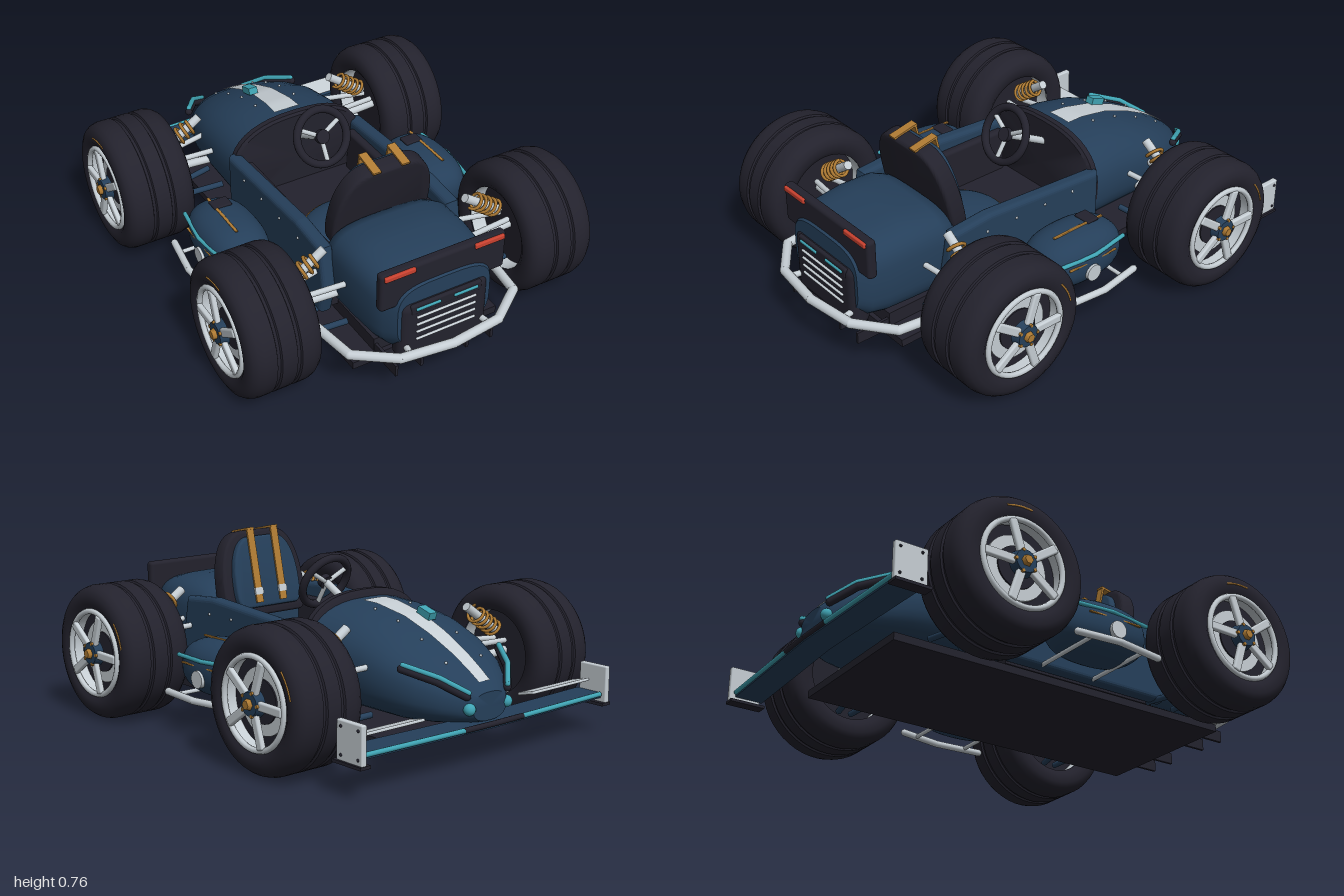
import * as THREE from 'three';
import { toCreasedNormals } from 'three/addons/utils/BufferGeometryUtils.js';
import { RoundedBoxGeometry } from 'three/addons/geometries/RoundedBoxGeometry.js';

const paint = (name, color, side = THREE.FrontSide) => {
  const m = new THREE.MeshStandardMaterial({ color, side });
  m.name = name;
  return m;
};

export function createModel() {
  const car = new THREE.Group();
  car.name = 'openRaceCar';
  const navy = paint('navy', 0x253f5a);
  const black = paint('black', 0x23222d);
  const silver = paint('silver', 0xc6ced4, THREE.DoubleSide);
  const gold = paint('gold', 0xb07c34);
  const teal = paint('teal', 0x3fa3b3);
  const red = paint('red', 0xc8412f);
  const V = (x, y, z) => new THREE.Vector3(x, y, z);

  const add = (name, geo, mat, x = 0, y = 0, z = 0, parent = car) => {
    const m = new THREE.Mesh(geo, mat);
    m.name = name;
    m.position.set(x, y, z);
    parent.add(m);
    return m;
  };
  const box = (name, mat, w, h, d, x, y, z, parent) =>
    add(name, new THREE.BoxGeometry(w, h, d), mat, x, y, z, parent);
  const soft = (name, mat, w, h, d, r, x, y, z, parent) =>
    add(name, new RoundedBoxGeometry(w, h, d, 3, r), mat, x, y, z, parent);
  // Round bar between two points
  const bar = (name, mat, a, b, r, parent) => {
    const d = b.clone().sub(a), c = a.clone().add(b).multiplyScalar(0.5);
    const m = add(name, new THREE.CylinderGeometry(r, r, d.length(), 12), mat, c.x, c.y, c.z, parent);
    m.quaternion.setFromUnitVectors(V(0, 1, 0), d.normalize());
    return m;
  };
  const rail = (name, mat, pts, r) => {
    for (let i = 1; i < pts.length; i++) bar(name, mat, pts[i - 1], pts[i], r);
    pts.forEach((p) => add(name + 'Joint', new THREE.SphereGeometry(r, 12, 8), mat, p.x, p.y, p.z));
  };
  // Superellipse cross-sections [z, halfWidth, bottom, top] in order of rising z
  const loft = (secs, e = 2.5, n = 40) => {
    const pos = [], idx = [];
    const pw = (v) => Math.sign(v) * Math.abs(v) ** (2 / e);
    secs.forEach(([z, w, b, t]) => {
      for (let j = 0; j < n; j++) {
        const a = (j / n) * Math.PI * 2;
        pos.push(w * pw(Math.cos(a)), (b + t) / 2 + ((t - b) / 2) * pw(Math.sin(a)), z);
      }
    });
    const last = secs.length - 1;
    for (let i = 0; i < last; i++) for (let j = 0; j < n; j++) {
      const k = (j + 1) % n, a = i * n + j, b = i * n + k;
      idx.push(a, b, a + n, b, b + n, a + n);
    }
    [0, last].forEach((s) => {
      const c = pos.length / 3;
      pos.push(0, (secs[s][2] + secs[s][3]) / 2, secs[s][0]);
      for (let j = 0; j < n; j++) {
        const k = (j + 1) % n;
        if (s) idx.push(c, s * n + j, s * n + k);
        else idx.push(c, k, j);
      }
    });
    const g = new THREE.BufferGeometry();
    g.setAttribute('position', new THREE.Float32BufferAttribute(pos, 3));
    g.setIndex(idx);
    return toCreasedNormals(g, 0.7);
  };

  // Nose
  const nose = [[-0.96, 0.09, 0.18, 0.29], [-0.93, 0.125, 0.17, 0.32], [-0.88, 0.175, 0.16, 0.355],
    [-0.8, 0.235, 0.15, 0.405], [-0.68, 0.28, 0.14, 0.465], [-0.55, 0.297, 0.14, 0.515],
    [-0.4, 0.305, 0.14, 0.545], [-0.25, 0.31, 0.14, 0.55]];
  add('nose', loft(nose), navy);
  const noseTop = (x, z) => {
    const i = Math.max(1, nose.findIndex((s) => s[0] >= z));
    const p = nose[i - 1], q = nose[i], f = (z - p[0]) / (q[0] - p[0]);
    const [, w, b, t] = p.map((v, k) => v + (q[k] - v) * f);
    return (b + t) / 2 + ((t - b) / 2) * (1 - (Math.abs(x) / w) ** 2.5) ** 0.4;
  };
  const stripe = new THREE.PlaneGeometry(1, 0.61, 6, 24).rotateX(-Math.PI / 2).translate(0, 0, -0.625);
  const sp = stripe.attributes.position;
  for (let i = 0; i < sp.count; i++) {
    const z = sp.getZ(i), x = sp.getX(i) * (0.06 + ((z + 0.93) / 0.61) * 0.06);
    sp.setXYZ(i, x, noseTop(x, z) + 0.005, z);
  }
  stripe.computeVertexNormals();
  add('noseStripe', stripe, silver);
  box('noseFin', teal, 0.04, 0.03, 0.07, -0.045, 0.525, -0.575).rotation.x = -0.3;
  add('cowlHoop', loft([[-0.27, 0.3, 0.16, 0.56], [-0.26, 0.312, 0.15, 0.58], [-0.235, 0.312, 0.15, 0.58],
    [-0.225, 0.3, 0.16, 0.57]]), black);

  // Floor, tub and cockpit
  box('floor', black, 0.67, 0.032, 1.58, 0, 0.1, 0);
  box('underTray', black, 0.46, 0.06, 0.77, 0, 0.145, 0.385);
  box('cockpitFloor', black, 0.52, 0.08, 0.74, 0, 0.2, 0.13);
  [-0.22, -0.105, 0.105, 0.22].forEach((x) => box('diffuserFin', black, 0.012, 0.05, 0.16, x, 0.125, 0.84));
  const sideShape = new THREE.Shape([[-0.23, 0.18], [0.5, 0.18], [0.53, 0.3], [0.5, 0.46], [0.33, 0.475], [-0.23, 0.44]]
    .map(([a, b]) => new THREE.Vector2(a, b)));
  const sideGeo = new THREE.ExtrudeGeometry(sideShape, { depth: 0.022, bevelSize: 0.02, bevelThickness: 0.02, bevelSegments: 4 })
    .translate(0, 0, -0.011).rotateY(-Math.PI / 2);

  // Engine cover and tail
  add('engineCover', loft([[0.43, 0.235, 0.2, 0.46], [0.46, 0.262, 0.17, 0.51], [0.52, 0.275, 0.16, 0.535],
    [0.66, 0.272, 0.16, 0.54], [0.78, 0.262, 0.16, 0.528], [0.85, 0.245, 0.17, 0.51], [0.897, 0.21, 0.2, 0.485]], 3.6), navy);
  soft('tailPanel', black, 0.4, 0.28, 0.09, 0.04, 0, 0.28, 0.868);
  soft('tailBar', black, 0.56, 0.17, 0.042, 0.015, 0, 0.495, 0.866);
  [0.35, 0.315, 0.28, 0.245].forEach((y) => soft('grilleSlat', silver, 0.27, 0.009, 0.012, 0.004, 0, y, 0.915));
  soft('tailTrim', black, 0.32, 0.045, 0.02, 0.009, 0, 0.388, 0.905);

  // Seat
  const arch = (w, h) => {
    const s = new THREE.Shape();
    s.moveTo(-w * 0.85, 0);
    s.lineTo(w * 0.85, 0);
    s.quadraticCurveTo(w, 0, w, h * 0.3);
    s.bezierCurveTo(w, h * 0.75, w * 0.75, h, w * 0.4, h);
    s.lineTo(-w * 0.4, h);
    s.bezierCurveTo(-w * 0.75, h, -w, h * 0.75, -w, h * 0.3);
    s.quadraticCurveTo(-w, 0, -w * 0.85, 0);
    return s;
  };
  const seat = new THREE.Group();
  seat.name = 'seatBack';
  seat.position.set(0, 0.4, 0.355);
  seat.rotation.x = 0.22;
  car.add(seat);
  const shell = { depth: 0.045, bevelSize: 0.015, bevelThickness: 0.015, bevelSegments: 4, curveSegments: 20 };
  add('seatShell', toCreasedNormals(new THREE.ExtrudeGeometry(arch(0.207, 0.345), shell), 0.6), black, 0, 0, 0.015, seat);
  add('seatPad', toCreasedNormals(new THREE.ExtrudeGeometry(arch(0.165, 0.29), { ...shell, depth: 0.01, bevelSize: 0.01 }), 0.6),
    navy, 0, 0.03, -0.012, seat);
  add('seatCushion', new THREE.SphereGeometry(1, 32, 16).scale(0.19, 0.05, 0.15), navy, 0, 0.27, 0.18);
  add('cushionPiping', new THREE.TorusGeometry(0.188, 0.005, 8, 48).rotateX(Math.PI / 2).scale(1, 1, 0.77), gold, 0, 0.278, 0.18);

  // Steering wheel
  const steer = new THREE.Group();
  steer.name = 'steeringWheel';
  steer.position.set(0, 0.58, -0.02);
  steer.rotation.x = -0.46;
  car.add(steer);
  add('steeringRim', new THREE.TorusGeometry(0.115, 0.017, 12, 40), black, 0, 0, 0, steer);
  for (let i = 0; i < 3; i++) {
    const a = Math.PI / 6 + (i * Math.PI * 2) / 3;
    bar('steeringSpoke', silver, V(0, 0, -0.01), V(Math.cos(a) * 0.11, Math.sin(a) * 0.11, 0), 0.01, steer);
  }
  add('steeringHub', new THREE.CylinderGeometry(0.03, 0.03, 0.025, 20).rotateX(Math.PI / 2), black, 0, 0, 0, steer);
  bar('steeringColumn', silver, V(0, 0.575, -0.03), V(0, 0.46, -0.25), 0.016);

  // Wheel, built with its axle on local y and the outer face up
  const half = [[0.275, 0.125], [0.262, 0.143], [0.24, 0.154], [0.205, 0.155], [0.178, 0.138]];
  const tread = [-0.1, -0.052, -0.048, -0.036, -0.032, 0.032, 0.036, 0.048, 0.052, 0.1]
    .map((y, i) => [[2, 3, 6, 7].includes(i) ? 0.274 : 0.282, y]);
  const profile = [...half.map(([r, y]) => [r, -y]).reverse(), ...tread, ...half].map(([r, y]) => new THREE.Vector2(r, y));
  const tyreGeo = toCreasedNormals(new THREE.LatheGeometry(profile, 48), 0.6);
  const ring = (r, t) => new THREE.TorusGeometry(r, t, 8, 48).rotateX(Math.PI / 2);
  const addWheel = (s, z) => {
    const w = new THREE.Group();
    w.name = 'wheel';
    w.position.set(s * 0.63, 0.29, z);
    w.rotation.z = -s * Math.PI / 2;
    car.add(w);
    add('tyre', tyreGeo, black, 0, 0, 0, w);
    add('rimBarrel', new THREE.CylinderGeometry(0.18, 0.178, 0.27, 40, 1, true), silver, 0, 0, 0, w);
    add('wheelBack', new THREE.CylinderGeometry(0.176, 0.176, 0.16, 40), black, 0, 0.01, 0, w);
    add('rimLip', ring(0.175, 0.012), silver, 0, 0.145, 0, w);
    add('brakeDisc', new THREE.CylinderGeometry(0.13, 0.13, 0.012, 40), silver, 0, 0.096, 0, w);
    add('brakeBell', new THREE.CylinderGeometry(0.085, 0.085, 0.012, 32), black, 0, 0.102, 0, w);
    for (let i = 0; i < 5; i++) {
      const arm = new THREE.Group();
      arm.name = 'spoke';
      arm.rotation.y = (i / 5) * Math.PI * 2 + 0.3;
      w.add(arm);
      soft('spokeArm', silver, 0.145, 0.022, 0.036, 0.008, 0.1, 0.15, 0, arm);
      add('wheelNut', new THREE.CylinderGeometry(0.007, 0.007, 0.01, 8), gold, 0.045, 0.165, 0, arm);
    }
    add('hub', new THREE.CylinderGeometry(0.045, 0.055, 0.035, 24), navy, 0, 0.15, 0, w);
    add('hubCap', new THREE.CylinderGeometry(0.018, 0.025, 0.025, 6), gold, 0, 0.172, 0, w);
    const mark = new THREE.TorusGeometry(0.226, 0.004, 6, 16, 0.5).rotateX(Math.PI / 2);
    add('sidewallMark', mark, gold, 0, 0.154, 0, w).rotation.y = s < 0 ? 0.35 : 2.3;
  };

  // Coil spring round a damper
  const addDamper = (a, b) => {
    bar('damper', silver, a, b, 0.019);
    const d = b.clone().sub(a), len = d.length() * 0.7, pts = [];
    for (let i = 0; i <= 60; i++) {
      const t = (i / 60) * Math.PI * 10;
      pts.push(V(Math.cos(t) * 0.034, (i / 60) * len, Math.sin(t) * 0.034));
    }
    const c = a.clone().addScaledVector(d, 0.25);
    const m = add('coilSpring', new THREE.TubeGeometry(new THREE.CatmullRomCurve3(pts), 120, 0.007, 6), gold, c.x, c.y, c.z);
    m.quaternion.setFromUnitVectors(V(0, 1, 0), d.normalize());
  };

  const podSecs = [];
  for (let i = 0; i <= 20; i++) {
    const t = -Math.cos((i / 20) * Math.PI) * 0.999, k = (1 - Math.abs(t) ** 2.6) ** (1 / 2.6);
    podSecs.push([0.035 + t * 0.213, 0.135 * k, 0.275 - 0.118 * k, 0.275 + 0.118 * k]);
  }
  const podGeo = loft(podSecs, 2.4);

  // Parts on both sides
  for (const s of [-1, 1]) {
    add('tubSide', sideGeo, navy, s * 0.295, 0, 0);
    soft('cockpitLining', black, 0.04, 0.22, 0.66, 0.015, s * 0.25, 0.32, 0.12);
    add('sidePod', podGeo, navy, s * 0.475, 0, 0);
    soft('podTopStripe', gold, 0.012, 0.008, 0.26, 0.003, s * 0.495, 0.392, 0.025);
    soft('podIntake', black, 0.08, 0.012, 0.06, 0.005, s * 0.465, 0.392, -0.05);
    soft('podSideStripe', gold, 0.01, 0.008, 0.25, 0.003, s * 0.603, 0.295, 0.04);
    rail('podTrim', teal, [V(s * 0.585, 0.325, -0.14), V(s * 0.607, 0.32, 0.03), V(s * 0.585, 0.315, 0.21)], 0.009);
    add('fillerCap', new THREE.CylinderGeometry(0.036, 0.036, 0.04, 20).rotateZ(Math.PI / 2), silver, s * 0.6, 0.245, 0.045);
    rail('sideBar', silver, [V(s * 0.63, 0.175, -0.165), V(s * 0.655, 0.17, 0.02), V(s * 0.63, 0.165, 0.225)], 0.015);
    for (const z of [-0.1, 0.15]) bar('sideBarMount', silver, V(s * 0.3, 0.17, z), V(s * 0.64, 0.17, z), 0.009);

    for (const z of [-0.52, 0.55]) {
      addWheel(s, z);
      addDamper(V(s * 0.325, 0.505, z), V(s * 0.5, 0.385, z));
      for (const k of [-0.07, 0.07]) {
        bar('upperWishbone', silver, V(s * 0.26, 0.36, z + k), V(s * 0.53, 0.34, z + k * 0.4), 0.012);
        bar('lowerWishbone', navy, V(s * 0.26, 0.17, z + k), V(s * 0.53, 0.15, z + k * 0.4), 0.013);
      }
      bar('axle', silver, V(s * 0.2, 0.265, z), V(s * 0.56, 0.29, z), 0.018);
    }

    // Front wing half
    const wing = new THREE.Shape([[0, 0.985], [s * 0.65, 0.965], [s * 0.65, 0.845], [0, 0.87]]
      .map(([a, b]) => new THREE.Vector2(a, b)));
    add('frontWing', new THREE.ExtrudeGeometry(wing, { depth: 0.022, bevelEnabled: false }).rotateX(-Math.PI / 2), navy, 0, 0.155, 0);
    bar('wingEdge', teal, V(s * 0.16, 0.172, -0.982), V(s * 0.64, 0.172, -0.967), 0.01);
    bar('wingCentreEdge', black, V(0, 0.172, -0.985), V(s * 0.16, 0.172, -0.982), 0.011);
    soft('wingFlap', silver, 0.34, 0.012, 0.085, 0.005, s * 0.465, 0.215, -0.875).rotation.x = 0.25;
    soft('endPlate', silver, 0.025, 0.15, 0.135, 0.006, s * 0.66, 0.212, -0.922);
    box('endPlateFoot', black, 0.05, 0.012, 0.15, s * 0.655, 0.133, -0.915);
    for (const z of [-0.97, -0.88]) for (const y of [0.16, 0.265])
      add('endPlateBolt', new THREE.SphereGeometry(0.006, 8, 6), black, s * 0.673, y, z);

    // Nose lights and rivets
    rail('noseLightBase', black, [V(s * 0.265, 0.38, -0.755), V(s * 0.19, 0.34, -0.87), V(s * 0.11, 0.285, -0.945)], 0.016);
    rail('noseLight', teal, [V(s * 0.262, 0.395, -0.76), V(s * 0.187, 0.357, -0.875), V(s * 0.107, 0.3, -0.95)], 0.011);
    add('headlamp', new THREE.SphereGeometry(0.024, 16, 12), teal, s * 0.1, 0.235, -0.95);
    for (const z of [-0.82, -0.69, -0.56, -0.43])
      add('rivet', new THREE.SphereGeometry(0.006, 8, 6), silver, s * 0.095, noseTop(0.095, z) + 0.002, z);
    for (const z of [-0.1, 0.05, 0.2, 0.35])
      add('tubRivet', new THREE.SphereGeometry(0.006, 8, 6), silver, s * 0.326, 0.425, z);

    // Tail lamps and belts
    soft('tailLamp', red, 0.135, 0.022, 0.016, 0.005, s * 0.2, 0.563, 0.888);
    soft('tailStrip', teal, 0.11, 0.012, 0.01, 0.004, s * 0.085, 0.391, 0.917);
    box('seatBelt', gold, 0.036, 0.32, 0.009, s * 0.065, 0.2, -0.03, seat);
    box('seatBeltTop', gold, 0.036, 0.009, 0.115, s * 0.065, 0.363, 0.02, seat);
    box('beltBuckle', silver, 0.044, 0.03, 0.009, s * 0.065, 0.09, -0.034, seat);
    bar('bumperMount', silver, V(s * 0.15, 0.215, 0.8), V(s * 0.18, 0.215, 0.95), 0.013);
  }

  // Tail bumper
  rail('tailBumper', silver, [[-0.41, 0.62], [-0.38, 0.835], [-0.225, 0.95], [0, 0.978], [0.225, 0.95], [0.38, 0.835], [0.41, 0.62]]
    .map(([x, z]) => V(x, 0.215, z)), 0.02);
  return car;
}
